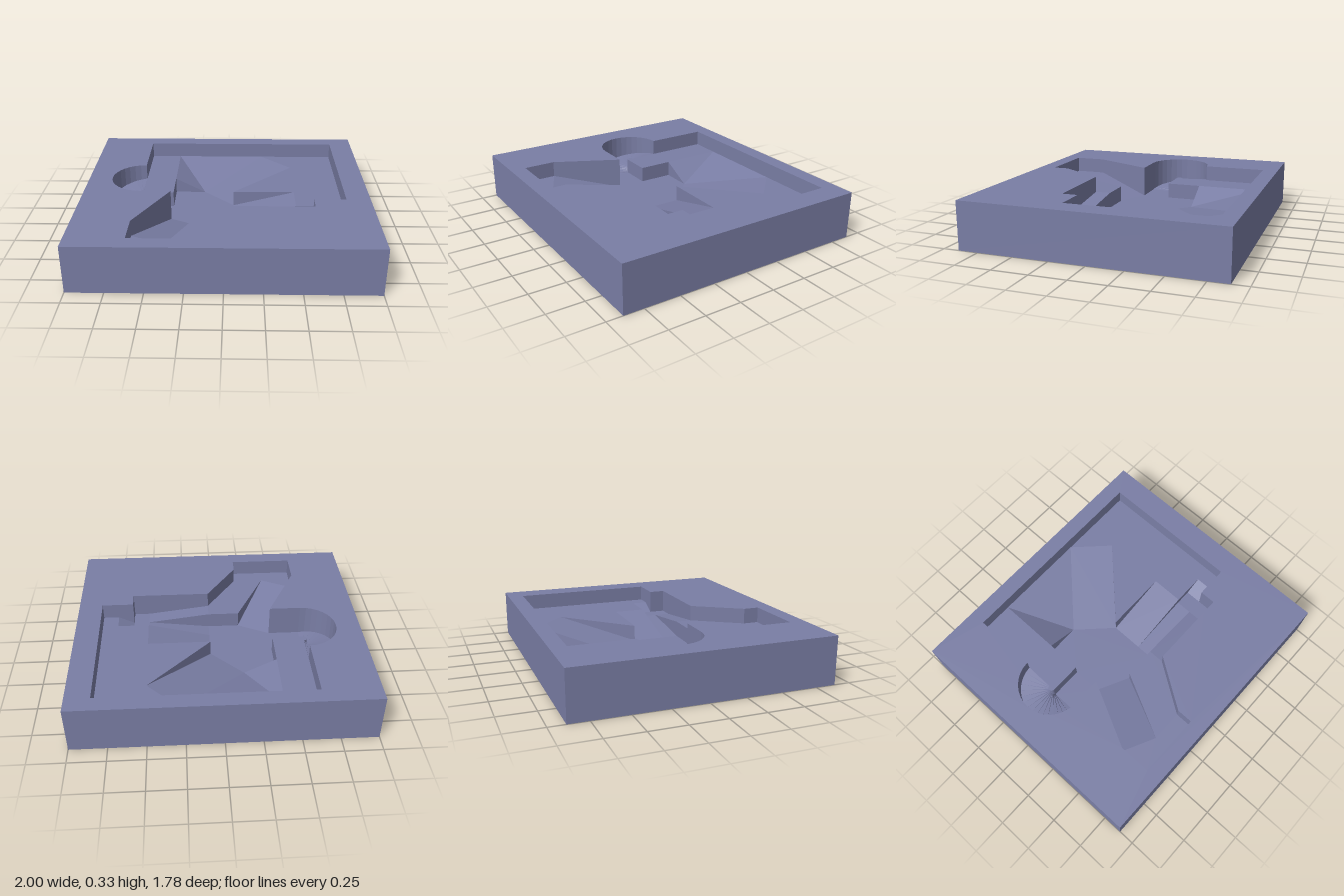
import * as THREE from 'three';

const U = 1 / 9; // one grid step of the layout
const material = new THREE.MeshStandardMaterial({ color: 0x7a7ea5, flatShading: true });

// Triangles given as [x, y, z] corners, in grid steps
function meshFrom(name, triangles) {
  const geometry = new THREE.BufferGeometry();
  geometry.setAttribute('position', new THREE.Float32BufferAttribute(triangles.flat(2).map(v => v * U), 3));
  geometry.computeVertexNormals();
  const mesh = new THREE.Mesh(geometry, material);
  mesh.name = name;
  return mesh;
}

// Upward-facing polygon from [x, z, y] corners, with an optional hole
function floor(points, hole = []) {
  const flat = list => list.map(([x, z]) => new THREE.Vector2(x, z));
  const all = [...points, ...hole];
  return THREE.ShapeUtils.triangulateShape(flat(points), hole.length ? [flat(hole)] : []).map(ids => {
    const [a, b, c] = ids.map(i => all[i]);
    const turn = (b[0] - a[0]) * (c[1] - a[1]) - (b[1] - a[1]) * (c[0] - a[0]);
    return (turn < 0 ? [a, b, c] : [a, c, b]).map(([x, z, y]) => [x, y, z]);
  });
}

// Upright band through [x, z, top, bottom]; it faces the right-hand side of the path
function wall(path) {
  const out = [];
  for (let i = 0; i + 1 < path.length; i++) {
    const [ax, az, at, ab] = path[i], [bx, bz, bt, bb] = path[i + 1];
    if (at > ab || bt > bb) {
      const a = [ax, ab, az], b = [bx, bb, bz], c = [bx, bt, bz], d = [ax, at, az];
      if (bt > bb) out.push([a, b, c]);
      if (at > ab) out.push([a, c, d]);
    }
  }
  return out;
}

const level = (y, corners) => corners.map(([x, z]) => [x, z, y]);

// Half turn around the post, climbing from y = 1 at the front to y = 2 at the back
const STEPS = 16;
const halfTurn = r => Array.from({ length: STEPS + 1 }, (_, i) => {
  const t = i / STEPS;
  return [-5.5 - r * Math.sin(Math.PI * t), -1 + r * Math.cos(Math.PI * t), 1 + t];
});

export function createModel() {
  const group = new THREE.Group();
  group.name = 'recessedBlock';
  const add = (name, triangles) => group.add(meshFrom(name, triangles));
  const outer = halfTurn(2), inner = halfTurn(0.2);

  // Pocket outline, with the floor height at each corner
  const outline = [
    [-5.5, -7, 2], [7.5, -7, 2], [7.5, 2, 2], [6.5, 2, 2], [5.5, 2, 1.5], [5.5, 3, 1.5],
    [4.5, 3, 1.5], [0.5, 3, 2], [-1.5, 6, 2], [-1.5, 7, 2], [-5.5, 7, 2], [-5.5, 5, 2],
    [-3.5, 1, 1], ...outer,
  ];

  // Outer block
  const rim = [[-9, 8], [9, 8], [9, -8], [-9, -8]];
  add('blockSides', wall([...rim, rim[0]].map(([x, z]) => [x, z, 3, 0])));
  add('blockBottom', floor(level(0, rim)).map(([a, b, c]) => [a, c, b]));
  add('blockTop', floor(level(3, rim), level(3, outline)));
  add('pocketWall', wall([...outline, outline[0]].map(([x, z, y]) => [x, z, 3, y])));

  // Level floors
  add('lowerFloor', floor(level(1, [
    [-5.5, -0.8], [-3.5, -0.8], [-3.5, -3], [-1.5, -3], [0.5, -1], [0.5, 2], [-1.5, 2], [-3.5, 1], [-5.5, 1]])));
  add('backRightFloor', floor(level(2, [[-5.5, -7], [-3.5, -7], [-3.5, -0.8], ...inner])));
  add('leftFloor', floor(level(2, [
    [2.5, -7], [7.5, -7], [7.5, 2], [6.5, 2], [6.5, 1], [4.5, 1], [4.5, -1], [0.5, -1], [4.5, -5]])));
  add('frontFloor', floor(level(2, [
    [-1.5, 2], [0.5, 2], [0.5, 3], [-1.5, 6], [-1.5, 7], [-5.5, 7], [-5.5, 5], [-3.5, 6]])));
  add('landing', floor(level(1.5, [[4.5, 1], [5.5, 1], [5.5, 3], [4.5, 3]])));

  // Sloping floors
  const ramps = {
    backSlope: [[-3.5, -7, 2], [-1.5, -3, 1], [2.5, -7, 2]],
    backSlopeSide: [[-3.5, -7, 2], [-3.5, -3, 2], [-1.5, -3, 1]],
    diagonalRamp: [[2.5, -7, 2], [4.5, -5, 2], [0.5, -1, 1], [-1.5, -3, 1]],
    sideRamp: [[0.5, -1, 1], [4.5, -1, 2], [4.5, 1, 2], [0.5, 1, 1]],
    lowerLandingRamp: [[0.5, 1, 1], [4.5, 1, 1.5], [4.5, 2, 1.5], [0.5, 2, 1]],
    upperLandingRamp: [[0.5, 2, 2], [4.5, 2, 1.5], [4.5, 3, 1.5], [0.5, 3, 2]],
    entryRamp: [[5.5, 1, 1.5], [6.5, 1, 2], [6.5, 2, 2], [5.5, 2, 1.5]],
    frontRamp: [[-3.5, 1, 1], [-1.5, 2, 1], [-3.5, 6, 2], [-5.5, 5, 2]],
  };
  for (const [name, corners] of Object.entries(ramps)) add(name, floor(corners));

  // Spiral ramp
  const spiral = [];
  for (let i = 0; i < STEPS; i++) spiral.push(...floor([inner[i], outer[i], outer[i + 1], inner[i + 1]]));
  add('spiralRamp', spiral);

  // Retaining walls between the levels
  add('backWall', wall([
    ...inner.slice().reverse().map(([x, z, y]) => [x, z, 2, y]),
    [-5.5, -0.8, 2, 1], [-3.5, -0.8, 2, 1], [-3.5, -3, 2, 1], [-1.5, -3, 1, 1]]));
  add('wedgeWall', wall([[4.5, -5, 2, 2], [0.5, -1, 2, 1], [4.5, -1, 2, 2]]));
  add('landingWall', wall([[0.5, 1, 1, 1], [4.5, 1, 2, 1.5], [5.5, 1, 2, 1.5], [6.5, 1, 2, 2]]));
  add('frontWall', wall([[4.5, 2, 1.5, 1.5], [0.5, 2, 2, 1], [-1.5, 2, 2, 1], [-3.5, 6, 2, 2]]));

  return group;
}
